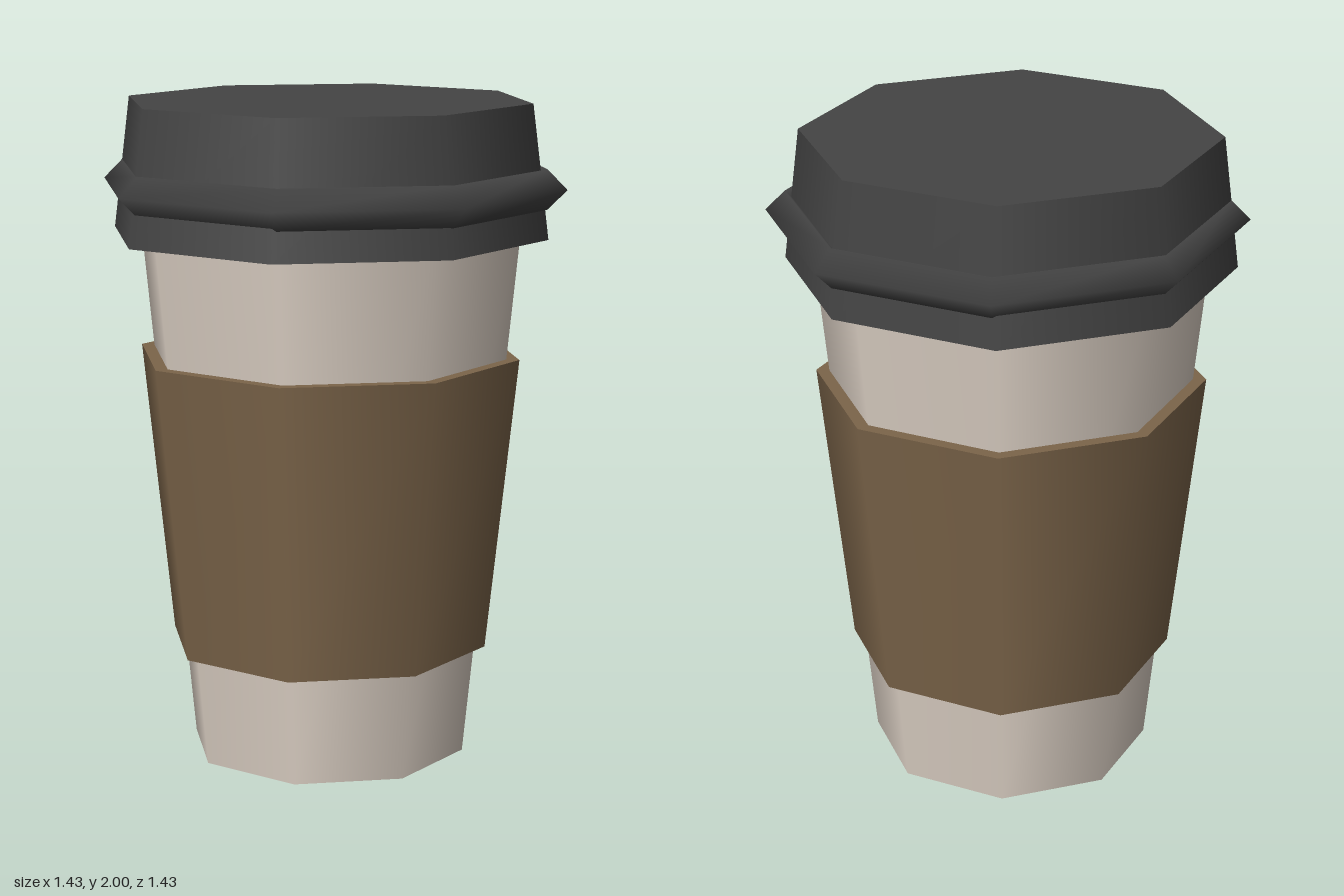
import * as THREE from 'three';

const SIDES = 8;

function material(name, color) {
  const m = new THREE.MeshStandardMaterial({ color });
  m.name = name;
  return m;
}

// Tapered, capped octagonal drum standing between two heights
function drum(name, rTop, rBottom, yBottom, yTop, mat) {
  const geometry = new THREE.CylinderGeometry(rTop, rBottom, yTop - yBottom, SIDES);
  const mesh = new THREE.Mesh(geometry, mat);
  mesh.name = name;
  mesh.position.y = (yBottom + yTop) / 2;
  return mesh;
}

export function createModel() {
  const paper = material('cream paper', 0xded2c6);
  const cardboard = material('brown cardboard', 0x7c654a);
  const plastic = material('dark plastic', 0x444444);

  const model = new THREE.Group();
  model.name = 'takeawayCup';

  // Cup, sleeve and lid share an axis slightly off the centre of the rim
  const body = new THREE.Group();
  body.name = 'cupBody';
  body.position.set(-0.008, 0, -0.008);
  body.add(
    drum('cup', 0.592, 0.428, 0, 1.66, paper),
    drum('sleeve', 0.59, 0.495, 0.338, 1.236, cardboard),
    drum('lid', 0.62, 0.671, 1.6, 2, plastic)
  );
  model.add(body);

  // Diamond-section ridge around the lid
  const ridge = new THREE.Mesh(new THREE.TorusGeometry(0.654, 0.06, 4, SIDES), plastic);
  ridge.name = 'lidRidge';
  ridge.rotation.x = -Math.PI / 2;
  ridge.position.y = 1.749;
  model.add(ridge);

  return model;
}
